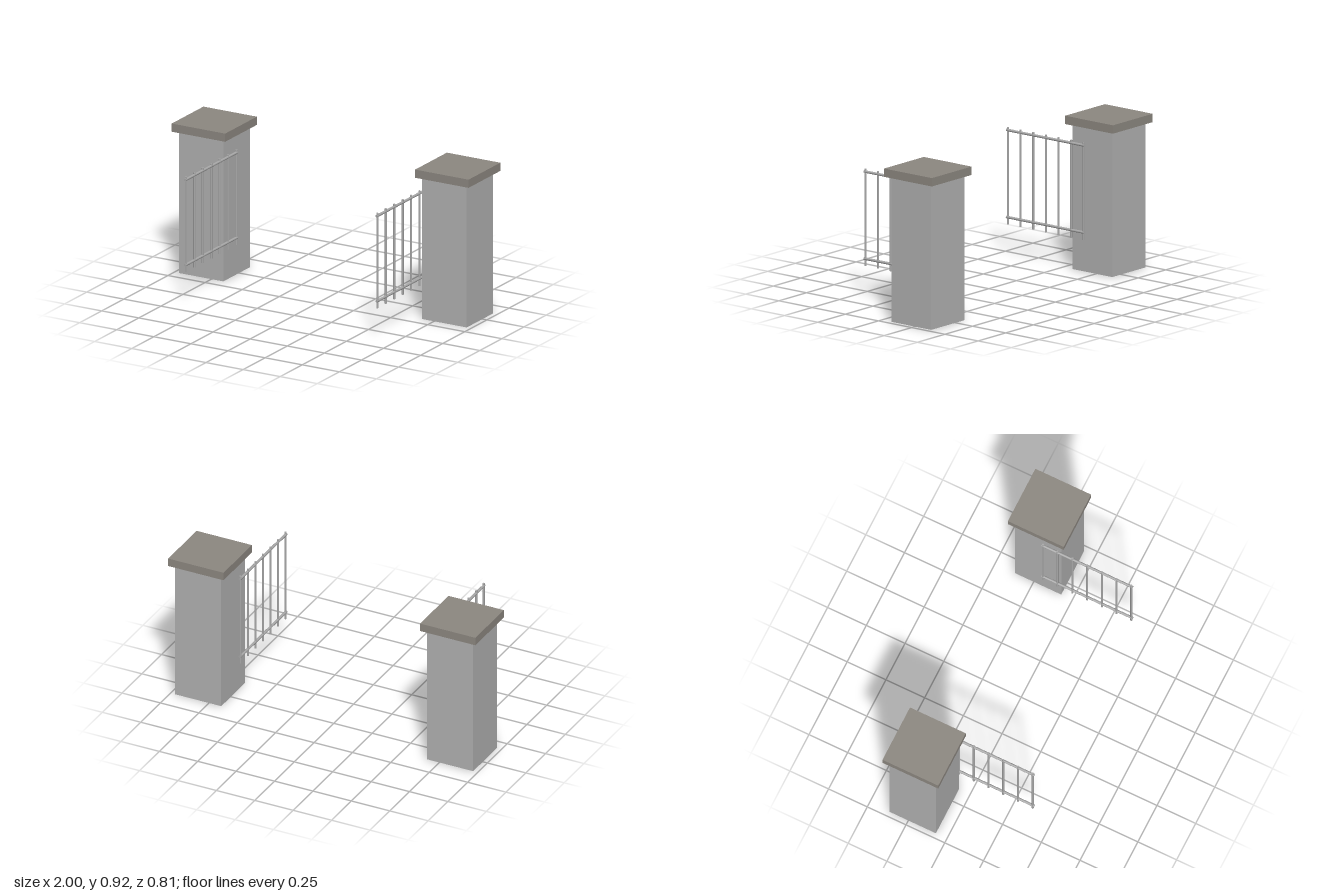
import * as THREE from 'three';

function material(name, color) {
  const m = new THREE.MeshStandardMaterial({ color });
  m.name = name;
  return m;
}

export function createModel() {
  const stone = material('pillar grey', 0xb0b0b0);
  const capStone = material('cap stone', 0x8c8780);
  const metal = material('gate metal', 0xa8a8a8);

  const root = new THREE.Group();
  root.name = 'openGateway';

  function add(parent, name, geometry, mat, x, y, z) {
    const mesh = new THREE.Mesh(geometry, mat);
    mesh.name = name;
    mesh.position.set(x, y, z);
    parent.add(mesh);
    return mesh;
  }

  // Shared geometries
  const shaftGeo = new THREE.BoxGeometry(0.3, 0.866, 0.3);
  const capGeo = new THREE.BoxGeometry(0.36, 0.05, 0.36);
  const barGeo = new THREE.CylinderGeometry(0.0065, 0.0065, 0.58, 12);
  const railGeo = new THREE.CylinderGeometry(0.008, 0.008, 0.588, 12).rotateX(Math.PI / 2);

  for (const [side, s] of [['left', 1], ['right', -1]]) {
    // Pillar with overhanging cap
    const pillar = new THREE.Group();
    pillar.name = side + 'Pillar';
    add(pillar, 'shaft', shaftGeo, stone, s * 0.82, 0.433, -0.222);
    add(pillar, 'cap', capGeo, capStone, s * 0.82, 0.891, -0.222);
    root.add(pillar);

    // Open gate leaf: two rails and seven bars beside the pillar
    const gate = new THREE.Group();
    gate.name = side + 'Gate';
    for (const y of [0.24, 0.76]) add(gate, 'rail', railGeo, metal, s * 0.645, y, 0.109);
    for (let i = 0; i < 7; i++) {
      add(gate, 'bar', barGeo, metal, s * 0.645, 0.487, 0.393 - i * 0.0952);
    }
    root.add(gate);
  }
  return root;
}
